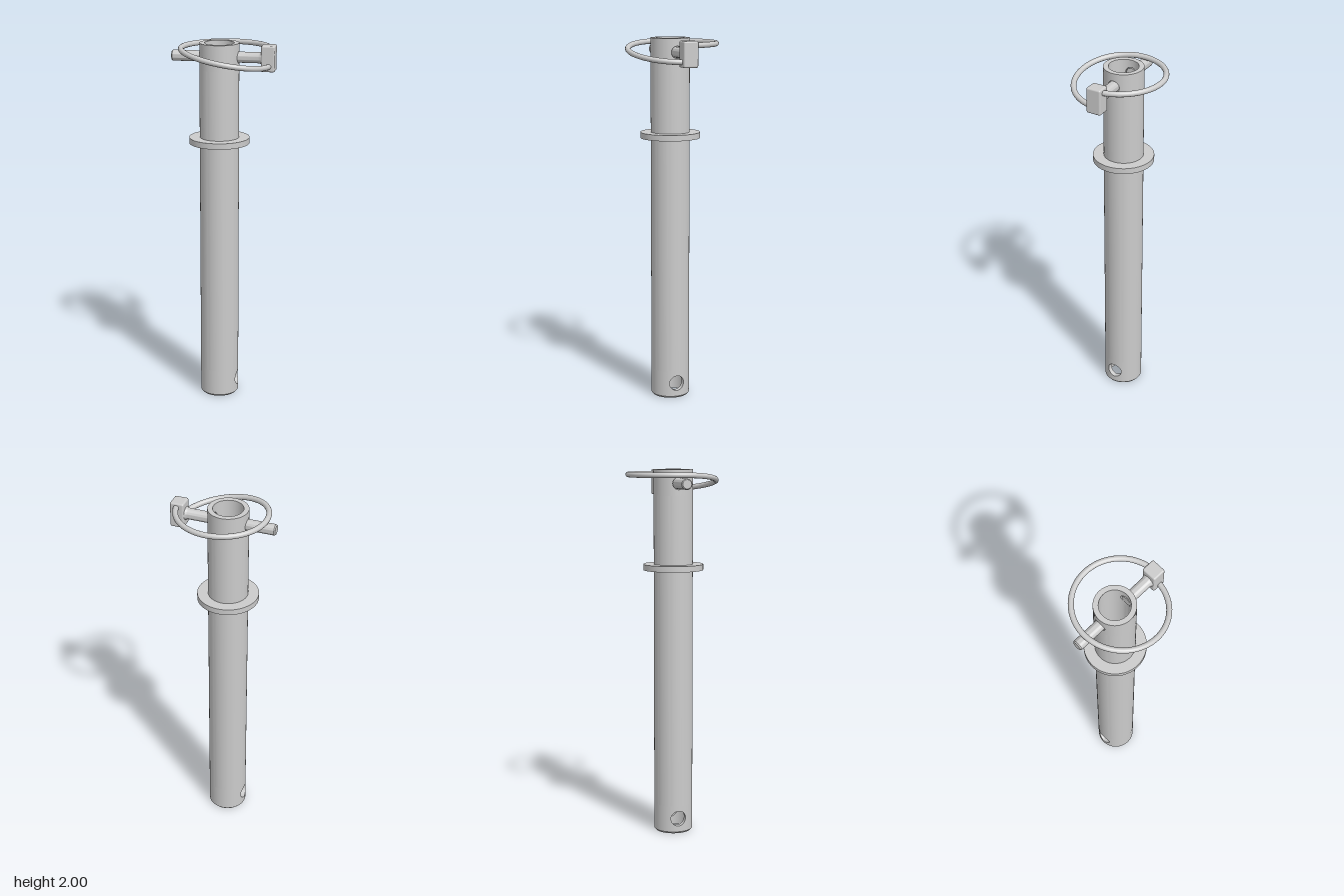
import * as THREE from 'three';
import { toCreasedNormals } from 'three/addons/utils/BufferGeometryUtils.js';
import { RoundedBoxGeometry } from 'three/addons/geometries/RoundedBoxGeometry.js';
import { ParametricGeometry } from 'three/addons/geometries/ParametricGeometry.js';

const material = new THREE.MeshStandardMaterial({ color: 0xcccccc });
const OUTER = 0.106, INNER = 0.079; // sleeve radii
const PIN_Y = 1.926, HOLE_Y = 0.085, SEGMENTS = 64;

function part(name, geometry, parent) {
  const mesh = new THREE.Mesh(geometry, material);
  mesh.name = name;
  parent.add(mesh);
  return mesh;
}

function lathe(points) {
  const profile = points.map(([r, y]) => new THREE.Vector2(r, y));
  return toCreasedNormals(new THREE.LatheGeometry(profile, SEGMENTS), 0.5);
}

// Point on a unit square's border, evenly spaced along each side
function squarePoint(phi) {
  const side = Math.floor(phi / (Math.PI / 2) + 0.5);
  const k = (phi - side * Math.PI / 2) * 4 / Math.PI;
  return [[1, k], [-k, 1], [-1, -k], [k, -1]][((side % 4) + 4) % 4];
}

// Half-round wall facing +x, pierced by a round hole along x
function piercedWall(radius, holeR, y, half, sign) {
  return new ParametricGeometry((u, v, target) => {
    const phi = sign * u * Math.PI * 2;
    const [sx, sy] = squarePoint(phi);
    const angle = THREE.MathUtils.lerp(Math.asin(holeR * Math.cos(phi) / radius), sx * Math.PI / 2, v);
    const height = THREE.MathUtils.lerp(holeR * Math.sin(phi), sy * half, v);
    target.set(radius * Math.cos(angle), y + height, radius * Math.sin(angle));
  }, 128, 12);
}

// Band of the sleeve with a cross hole through both sides
function piercedBand(name, holeR, y, half, parent) {
  const band = new THREE.Group();
  band.name = name;
  parent.add(band);
  for (const turn of [0, Math.PI]) {
    const edge = new ParametricGeometry((u, v, target) => {
      const phi = u * Math.PI * 2, z = holeR * Math.cos(phi);
      const r = THREE.MathUtils.lerp(INNER, OUTER, v);
      target.set(Math.sqrt(r * r - z * z), y + holeR * Math.sin(phi), z);
    }, 64, 1);
    part('outerWall', piercedWall(OUTER, holeR, y, half, 1), band).rotation.y = turn;
    part('innerWall', piercedWall(INNER, holeR, y, half, -1), band).rotation.y = turn;
    part('holeEdge', edge, band).rotation.y = turn;
  }
}

export function createModel() {
  const model = new THREE.Group();
  model.name = 'hitchPin';

  // Hollow sleeve
  const sleeve = new THREE.Group();
  sleeve.name = 'sleeve';
  sleeve.position.set(-0.024, 0, -0.004);
  model.add(sleeve);
  const lowHalf = 0.07, highHalf = 0.065;
  const low = HOLE_Y + lowHalf, high = PIN_Y - highHalf;
  const bottom = HOLE_Y - lowHalf, top = PIN_Y + highHalf;
  part('bottomRim', lathe([[INNER, bottom], [INNER, 0], [OUTER - 0.008, 0], [OUTER, 0.01], [OUTER, bottom]]), sleeve);
  piercedBand('lowerHoleBand', 0.042, HOLE_Y, lowHalf, sleeve);
  part('outerSleeve', lathe([[OUTER, low], [OUTER, high]]), sleeve);
  part('innerSleeve', lathe([[INNER, high], [INNER, low]]), sleeve);
  piercedBand('upperHoleBand', 0.033, PIN_Y, highHalf, sleeve);
  part('topRim', lathe([[OUTER, top], [OUTER, 2], [INNER, 2], [INNER, top]]), sleeve);

  // Washer-like collar
  part('collar', lathe([[OUTER, 1.458], [0.163, 1.458], [0.163, 1.49], [OUTER, 1.49]]), sleeve);

  // Locking pin: one length on each side of the open bore, along x
  const pin = new THREE.Group();
  pin.name = 'lockingPin';
  pin.position.set(0, PIN_Y, -0.004);
  pin.rotation.z = -Math.PI / 2;
  model.add(pin);
  const r = 0.029;
  part('pinTip', lathe([[0, -0.28], [r - 0.005, -0.28], [r, -0.274], [r, -0.1], [0, -0.1]]), pin);
  part('pinShank', lathe([[0, 0.052], [r, 0.052], [r, 0.188], [0.031, 0.196], [0.036, 0.206], [0, 0.206]]), pin);

  // Block head
  part('pinHead', new RoundedBoxGeometry(0.074, 0.138, 0.082, 4, 0.009), model).position.set(0.241, PIN_Y, -0.004);

  // Sprung wire ring: front half slopes up from the head, back half is level
  const path = [];
  for (let i = 0; i <= 64; i++) {
    const a = i / 64 * Math.PI * 2;
    const y = a < Math.PI ? 1.928 - 0.043 * Math.cos(a) : 1.971;
    path.push(new THREE.Vector3(0.01 + 0.237 * Math.cos(a), y, -0.001 + 0.237 * Math.sin(a)));
  }
  part('wireRing', new THREE.TubeGeometry(new THREE.CatmullRomCurve3(path), 128, 0.0145, 16), model);

  return model;
}
